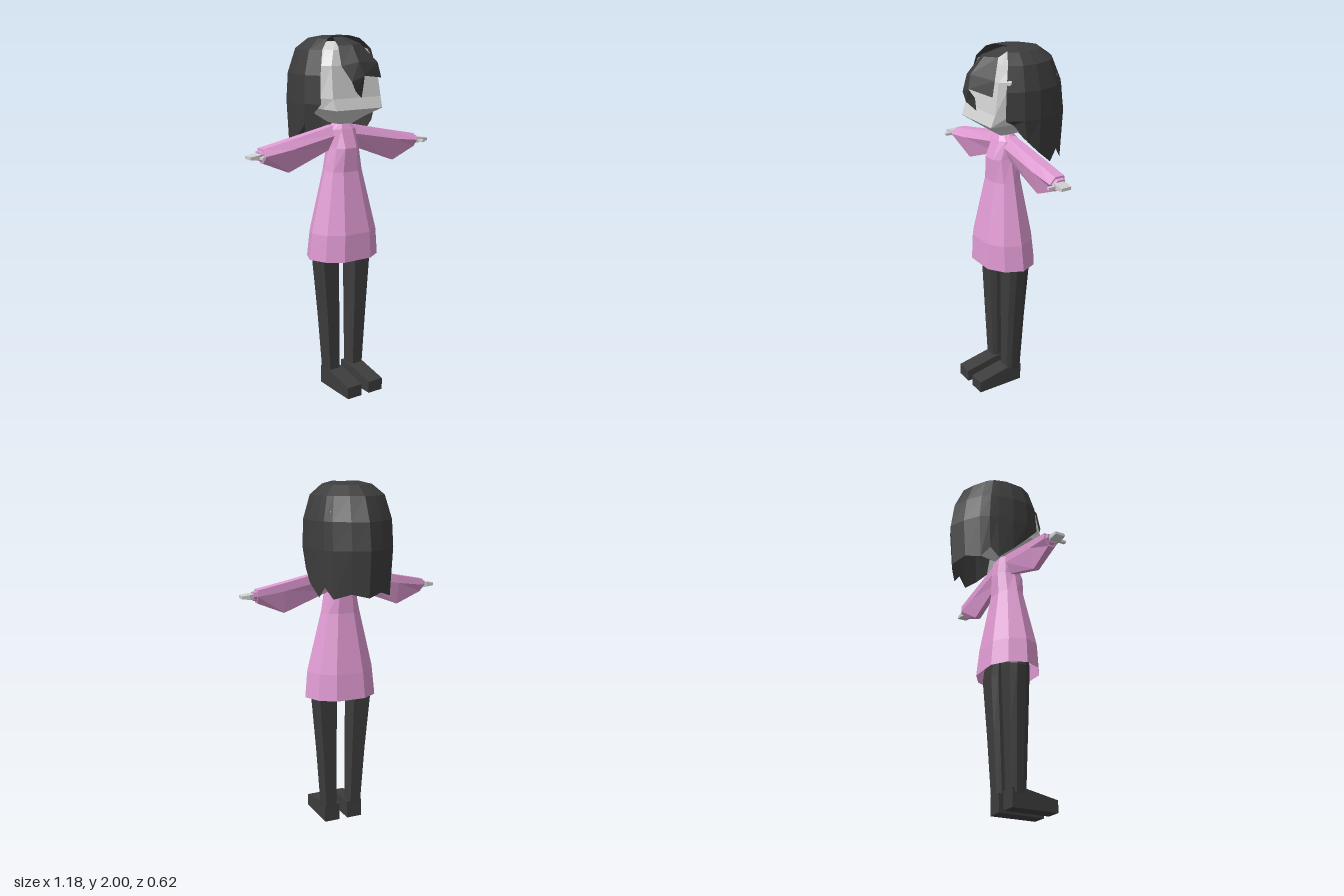
import * as THREE from 'three';

const mat = (name, color, side = THREE.FrontSide) =>
  new THREE.MeshStandardMaterial({ name, color, side, flatShading: true });

// Skin a list of rows of points; rows may be closed rings or open strips.
function loft(name, rows, material, closed = true) {
  const n = rows[0].length, index = [];
  for (let r = 0; r < rows.length - 1; r++) {
    for (let i = 0; i < (closed ? n : n - 1); i++) {
      const j = (i + 1) % n;
      const a = r * n + i, b = r * n + j, c = b + n, d = a + n;
      index.push(a, b, c, a, c, d);
    }
  }
  const g = new THREE.BufferGeometry();
  g.setAttribute('position', new THREE.Float32BufferAttribute(rows.flat(2), 3));
  g.setIndex(index);
  const flat = g.toNonIndexed();
  flat.computeVertexNormals();
  const mesh = new THREE.Mesh(flat, material);
  mesh.name = name;
  return mesh;
}

// Close a ring by collapsing it to its middle.
const cap = ring => {
  const m = [0, 1, 2].map(k => ring.reduce((s, p) => s + p[k], 0) / ring.length);
  return ring.map(() => m);
};
const capped = rows => [cap(rows[0]), ...rows, cap(rows[rows.length - 1])];

// Mirror rows across x while keeping faces outward.
const sided = (s, rows) => rows.map(ring => {
  const out = ring.map(([x, y, z]) => [s * x, y, z]);
  return s < 0 ? out.reverse() : out;
});

export function createModel() {
  const model = new THREE.Group();
  model.name = 'girl';
  const pink = mat('pink cloth', 0xdf9ad2, THREE.DoubleSide);
  const skin = mat('pale skin', 0xd0d0d0);
  const dark = mat('charcoal', 0x3d3d3d, THREE.DoubleSide);

  // Dress: ten-sided rings of [y, half width, front z, back z]
  const dress = [
    [0.78, 0.22, 0.23, -0.08], [0.93, 0.205, 0.225, -0.065], [1.27, 0.12, 0.158, -0.01],
    [1.4, 0.092, 0.16, -0.01], [1.5, 0.09, 0.12, 0], [1.54, 0.04, 0.1, 0.03],
  ].map(([y, w, f, b]) => {
    const c = (f + b) / 2, d = (f - b) / 2;
    const half = [[0.4, 1], [0.8, 0.62], [1, 0], [0.8, -0.62], [0.4, -1]];
    const right = half.map(([u, v]) => [u * w, y, c + v * d]);
    return [...right, ...right.map(([x, yy, z]) => [-x, yy, z]).reverse()];
  });
  model.add(loft('dress', dress, pink));

  // Neck
  const neck = new THREE.Mesh(new THREE.CylinderGeometry(0.035, 0.035, 0.12, 6), skin);
  neck.name = 'neck';
  neck.position.set(0, 1.53, 0.06);
  model.add(neck);

  // Head: [y, front half width, front z, side half width, side z, back z]
  const head = [
    [1.53, 0.04, 0.11, 0.05, 0.08, 0], [1.575, 0.08, 0.175, 0.1, 0.1, -0.08],
    [1.62, 0.15, 0.238, 0.165, 0.13, -0.15], [1.68, 0.155, 0.214, 0.18, 0.13, -0.17],
    [1.85, 0.145, 0.185, 0.178, 0.13, -0.17], [1.93, 0.11, 0.15, 0.135, 0.1, -0.13],
    [1.965, 0.05, 0.08, 0.06, 0.05, -0.06],
  ].map(([y, fx, f, sx, sz, b]) => [
    [-fx, y, f], [fx, y, f], [sx, y, sz], [sx * 0.9, y, b], [-sx * 0.9, y, b], [-sx, y, sz],
  ]);
  model.add(loft('head', capped(head), skin));

  // Hair: columns of [x, z, tip height] swept from one temple round the back to the other
  const half = [
    [0.19, 0.15, 1.62], [0.235, 0.07, 1.53], [0.24, -0.02, 1.46], [0.22, -0.11, 1.39],
    [0.205, -0.16, 1.45], [0.175, -0.21, 1.39], [0.09, -0.27, 1.42],
  ];
  const columns = [...half, [0, -0.31, 1.4], ...half.map(([x, z, t]) => [-x, z, t]).reverse()];
  // [y or null for tips, width scale, front scale, back scale]
  const hair = [
    [null, 0.96, 0.75, 0.94], [1.65, 1, 1.1, 1], [1.8, 0.98, 1.05, 0.93],
    [1.93, 0.83, 0.87, 0.74], [1.985, 0.56, 0.67, 0.48], [2.0, 0.3, 0.5, 0.13],
  ].map(([y, w, f, b]) => columns.map(([x, z, tip]) =>
    [x * w - 0.01, y ?? tip, z * (z > 0 ? f : b)]));
  hair.push(columns.map(() => [-0.005, 1.998, 0.04]));
  model.add(loft('hair', hair, dark, false));

  // Swept fringe over the brow
  const fringe = [
    [[-0.05, 1.72, 0.268], [0.01, 1.68, 0.24], [0.015, 1.75, 0.25]],
    [[-0.075, 1.77, 0.272], [0, 1.8, 0.28], [0.15, 1.78, 0.225]],
    [[-0.11, 1.85, 0.225], [-0.02, 1.87, 0.255], [0.14, 1.86, 0.205]],
    [[-0.08, 1.95, 0.15], [-0.01, 1.955, 0.18], [0.07, 1.96, 0.14]],
    [[-0.04, 1.99, 0.04], [0, 1.995, 0.05], [0.04, 1.99, 0.04]],
  ];
  // The lowest lock hangs on the near side only
  model.add(loft('fringe', fringe.slice(1), dark, false));
  model.add(loft('fringeTip', [
    [fringe[0][0], fringe[0][1]],
    [fringe[0][0], fringe[0][2]],
    [fringe[1][0], fringe[1][1]],
  ], dark, false));

  for (const s of [1, -1]) {
    const side = s > 0 ? 'left' : 'right';

    // Sleeve: [x, top, middle, bottom, depth scale]
    const sleeve = [
      [0.06, 1.52, 1.47, 1.4, 0.9], [0.35, 1.46, 1.415, 1.29, 1], [0.505, 1.43, 1.395, 1.355, 1],
      [0.505, 1.42, 1.395, 1.365, 0.8], [0.525, 1.417, 1.395, 1.37, 0.75],
    ].map(([x, t, m, b, k]) => [
      [x, t, 0.067 - 0.043 * k], [x, t, 0.067 + 0.013 * k], [x, m, 0.067 + 0.045 * k],
      [x, b, 0.067 + 0.013 * k], [x, b, 0.067 - 0.02 * k], [x, m, 0.067 - 0.045 * k],
    ]);
    model.add(loft(side + 'Sleeve', capped(sided(s, sleeve)), pink));

    // Hand with thumb
    const hand = [
      [0.51, 0.018, 0.045, 0.095], [0.545, 0.013, 0.038, 0.103], [0.59, 0.008, 0.042, 0.1],
    ].map(([x, h, b, f]) => [
      [x, 1.392 + h, b], [x, 1.392 + h, f], [x, 1.392 - h, f], [x, 1.392 - h, b],
    ]);
    model.add(loft(side + 'Hand', capped(sided(s, hand)), skin));
    const thumb = new THREE.Mesh(new THREE.BoxGeometry(0.018, 0.014, 0.05), skin);
    thumb.name = side + 'Thumb';
    thumb.position.set(s * 0.53, 1.39, 0.115);
    model.add(thumb);

    // Leg: [y, inner x, outer x, back z, front z] with chamfered corners
    const leg = [
      [0.08, 0.035, 0.122, 0.03, 0.12], [0.45, 0.037, 0.148, 0.015, 0.125],
      [0.78, 0.037, 0.178, 0, 0.125], [1.0, 0.02, 0.13, 0.01, 0.12],
    ].map(([y, i, o, b, f]) => {
      const c = (o - i) * 0.14, d = (f - b) * 0.28;
      return [[i + c, y, f], [o - c, y, f], [o, y, f - d], [o, y, b + d],
        [o - c, y, b], [i + c, y, b], [i, y, b + d], [i, y, f - d]];
    });
    model.add(loft(side + 'Leg', capped(sided(s, leg)), dark));

    // Shoe: side outline extruded across the foot
    const outline = new THREE.Shape([[0.03, 0], [0.31, 0], [0.31, 0.068], [0.12, 0.105], [0.03, 0.105]]
      .map(([z, y]) => new THREE.Vector2(z, y)));
    const shoe = new THREE.Mesh(
      new THREE.ExtrudeGeometry(outline, { depth: 0.094, bevelEnabled: false }), dark);
    shoe.name = side + 'Shoe';
    shoe.rotation.y = -Math.PI / 2;
    shoe.position.x = s > 0 ? 0.119 : -0.025;
    model.add(shoe);
  }
  return model;
}
